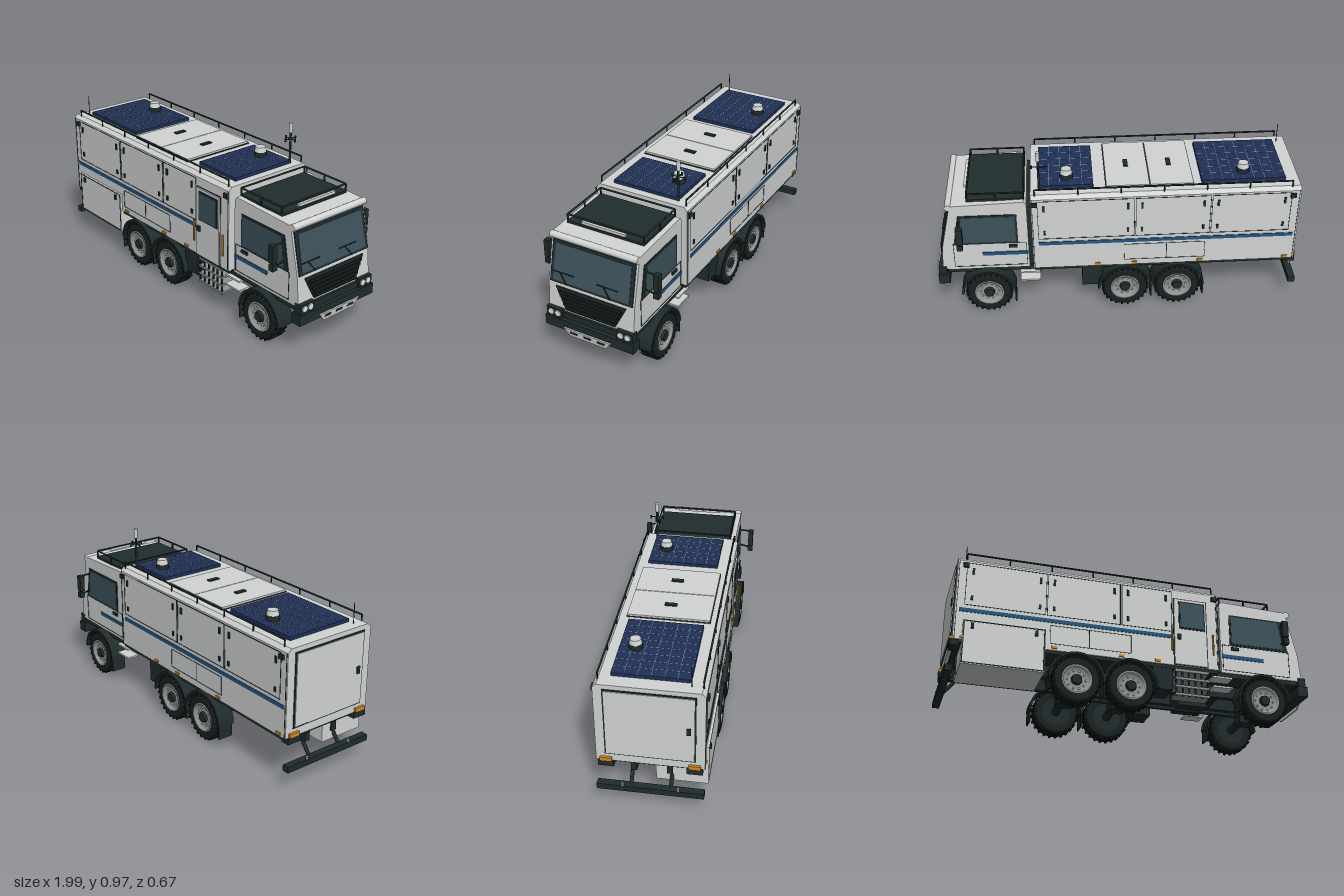
import * as THREE from 'three';

const mat = (name, color, double) => {
  const m = new THREE.MeshStandardMaterial({ color });
  m.name = name;
  if (double) m.side = THREE.DoubleSide;
  return m;
};
const M = {
  paint: mat('bodyPaint', 0xd2d5d4), dark: mat('darkTrim', 0x202c2c), rubber: mat('tyreRubber', 0x1a2020),
  glass: mat('tintedGlass', 0x3c525c), blue: mat('stripeBlue', 0x245680), solar: mat('solarBlue', 0x1f3158),
  orange: mat('markerOrange', 0xd88a1c), metal: mat('rimMetal', 0x8f9696), lens: mat('lampLens', 0xe6e8e6),
};

export function createModel() {
  const root = new THREE.Group();
  root.name = 'expeditionTruck';
  const add = (name, geo, m, parent = root) => {
    const mesh = new THREE.Mesh(geo, m);
    mesh.name = name;
    parent.add(mesh);
    return mesh;
  };
  // Box given by its limits on each axis
  const box = (name, m, x0, x1, y0, y1, z0, z1, parent = root) => {
    const b = add(name, new THREE.BoxGeometry(x1 - x0, y1 - y0, Math.abs(z1 - z0)), m, parent);
    b.position.set((x0 + x1) / 2, (y0 + y1) / 2, (z0 + z1) / 2);
    return b;
  };
  const cyl = (name, m, x, y, z, r0, r1, h, parent = root, seg = 20) => {
    const c = add(name, new THREE.CylinderGeometry(r1, r0, h, seg), m, parent);
    c.position.set(x, y + h / 2, z);
    return c;
  };
  const rod = (name, m, a, b, r, parent = root) => {
    const p = new THREE.Vector3(...a), q = new THREE.Vector3(...b), d = q.clone().sub(p);
    const c = add(name, new THREE.CylinderGeometry(r, r, d.length(), 8), m, parent);
    c.position.copy(p).add(q).multiplyScalar(0.5);
    c.quaternion.setFromUnitVectors(new THREE.Vector3(0, 1, 0), d.normalize());
    return c;
  };
  const poly = pts => new THREE.Shape(pts.map(p => new THREE.Vector2(...p)));
  const extrude = (shape, depth) => new THREE.ExtrudeGeometry(shape, { depth, bevelEnabled: false, curveSegments: 20 });
  // Thin rectangle on a long side; s is +1 or -1
  const plate = (name, m, x0, x1, y0, y1, s, z, t = 0.004) => box(name, m, x0, x1, y0, y1, s * z, s * (z + t));
  const outline = (name, x0, x1, y0, y1, s, z, w = 0.003) => {
    plate(name, M.dark, x0, x1, y0, y0 + w, s, z, 0.002);
    plate(name, M.dark, x0, x1, y1 - w, y1, s, z, 0.002);
    plate(name, M.dark, x0, x0 + w, y0, y1, s, z, 0.002);
    plate(name, M.dark, x1 - w, x1, y0, y1, s, z, 0.002);
  };

  // Living box with chamfered roof edges
  const bodyGeo = extrude(poly([[-0.27, 0.28], [0.27, 0.28], [0.27, 0.73], [0.25, 0.75], [-0.25, 0.75], [-0.27, 0.73]]), 1.43);
  bodyGeo.rotateY(Math.PI / 2);
  add('livingBox', bodyGeo, M.paint).position.x = -0.967;
  box('floorFrame', M.dark, -0.95, 0.46, 0.262, 0.28, -0.262, 0.262);

  // Side lockers, stripes, lamps and handles
  for (const s of [1, -1]) {
    const end = s > 0 ? 0.2 : 0.43;
    plate('sideStripe', M.blue, -0.945, end, 0.435, 0.456, s, 0.27, 0.003);
    for (const [a, b] of [[-0.92, -0.495], [-0.49, -0.09], [-0.085, end]]) {
      outline('lockerSeam', a, b, 0.475, 0.72, s, 0.27);
      for (const x of [a + 0.03, b - 0.04]) {
        plate('lockerLatch', M.dark, x, x + 0.012, 0.655, 0.69, s, 0.27, 0.006);
        plate('lockerLatch', M.dark, x, x + 0.012, 0.505, 0.53, s, 0.27, 0.006);
      }
    }
    outline('lowerLockerSeam', -0.47, -0.26, 0.315, 0.42, s, 0.27, 0.002);
    outline('lowerLockerSeam', -0.26, -0.03, 0.315, 0.42, s, 0.27, 0.002);
    for (const x of [-0.93, -0.46, -0.1, 0.1]) plate('markerLamp', M.orange, x, x + 0.03, 0.288, 0.302, s, 0.27, 0.006);
    for (const x of [-0.94, 0.43]) plate('worklight', M.dark, x, x + 0.03, 0.69, 0.715, s, 0.27, 0.012);
    for (const x of [-0.96, 0.455]) plate('cornerSeam', M.dark, x, x + 0.003, 0.28, 0.73, s, 0.27, 0.002);

    // Roof rail
    rod('roofRail', M.dark, [-0.92, 0.782, s * 0.252], [0.44, 0.782, s * 0.252], 0.005);
    for (let i = 0; i < 7; i++) {
      const x = -0.92 + i * 1.36 / 6;
      rod('railPost', M.dark, [x, 0.745, s * 0.252], [x, 0.782, s * 0.252], 0.004);
    }
  }

  // Entry door with window, grab handles and stairs
  plate('entryDoor', M.paint, 0.21, 0.395, 0.285, 0.675, 1, 0.27, 0.009);
  outline('doorSeam', 0.205, 0.4, 0.282, 0.68, 1, 0.27, 0.005);
  plate('doorWindowFrame', M.dark, 0.235, 0.385, 0.495, 0.66, 1, 0.278, 0.004);
  plate('doorWindow', M.glass, 0.243, 0.377, 0.503, 0.652, 1, 0.28, 0.005);
  plate('doorHandle', M.dark, 0.225, 0.245, 0.43, 0.46, 1, 0.279, 0.01);
  for (const x of [0.195, 0.43]) rod('grabHandle', M.orange, [x, 0.36, 0.282], [x, 0.48, 0.282], 0.005);
  for (const y of [0.115, 0.16, 0.205, 0.25]) box('stairTread', M.metal, 0.215, 0.405, y, y + 0.012, 0.18, 0.265);
  for (let i = 0; i < 6; i++) box('stairBar', M.dark, 0.215 + i * 0.036, 0.223 + i * 0.036, 0.11, 0.265, 0.255, 0.262);

  // Lower storage box on the left
  box('storageBox', M.paint, -0.92, -0.495, 0.145, 0.385, 0.02, 0.282);
  outline('storageSeam', -0.917, -0.498, 0.15, 0.384, 1, 0.282, 0.005);
  for (const x of [-0.88, -0.55]) plate('storageLatch', M.dark, x, x + 0.015, 0.34, 0.37, 1, 0.282, 0.008);

  // Rear door, lamps and bumper
  box('rearDoorFrame', M.dark, -0.971, -0.966, 0.325, 0.725, -0.225, 0.225);
  box('rearDoor', M.paint, -0.975, -0.968, 0.333, 0.717, -0.217, 0.217);
  box('rearDoorLatch', M.dark, -0.98, -0.97, 0.5, 0.54, 0.18, 0.2);
  box('rearBumper', M.dark, -0.993, -0.955, 0.105, 0.138, -0.27, 0.27);
  for (const s of [1, -1]) {
    box('rearLamp', M.orange, -0.98, -0.96, 0.285, 0.305, s * 0.19, s * 0.25);
    box('rearLampHousing', M.dark, -0.977, -0.93, 0.25, 0.283, s * 0.18, s * 0.26);
    rod('bumperStrut', M.dark, [-0.9, 0.2, s * 0.1], [-0.965, 0.12, s * 0.1], 0.01);
    cyl('towEye', M.metal, -0.985, 0.138, s * 0.14, 0.008, 0.008, 0.012);
  }

  // Roof equipment: solar panels, hatches, vents and aerials
  for (const [a, b, n] of [[-0.893, -0.445, 8], [0.13, 0.42, 5]]) {
    box('solarPanel', M.solar, a, b, 0.75, 0.768, -0.195, 0.19);
    for (let i = 1; i < n; i++) {
      const x = a + (b - a) * i / n;
      box('solarLine', M.metal, x - 0.001, x + 0.001, 0.767, 0.769, -0.195, 0.19);
    }
    for (let i = 1; i < 6; i++) {
      const z = -0.195 + 0.385 * i / 6;
      box('solarLine', M.metal, a, b, 0.767, 0.769, z - 0.001, z + 0.001);
    }
  }
  for (const x of [-0.4, -0.167]) {
    box('hatchGap', M.dark, x - 0.003, x + 0.233, 0.75, 0.755, -0.215, 0.218);
    box('roofHatch', M.paint, x, x + 0.229, 0.75, 0.765, -0.212, 0.215);
    box('hatchHandle', M.dark, x + 0.103, x + 0.127, 0.765, 0.772, -0.035, 0.03);
  }
  for (const x of [-0.675, 0.27]) {
    cyl('ventBase', M.dark, x, 0.768, -0.115, 0.035, 0.035, 0.026);
    cyl('ventCap', M.paint, x, 0.794, -0.115, 0.033, 0.027, 0.026);
  }
  cyl('mast', M.dark, 0.415, 0.75, -0.193, 0.006, 0.006, 0.175);
  cyl('mastTip', M.paint, 0.415, 0.925, -0.193, 0.01, 0.01, 0.05);
  rod('mastCrossbar', M.dark, [0.38, 0.887, -0.193], [0.45, 0.887, -0.193], 0.003);
  rod('mastCrossbar', M.dark, [0.415, 0.887, -0.228], [0.415, 0.887, -0.158], 0.003);
  for (const [x, z] of [[0.38, -0.193], [0.45, -0.193], [0.415, -0.228], [0.415, -0.158]]) cyl('mastSensor', M.dark, x, 0.877, z, 0.005, 0.005, 0.018);
  cyl('whipAerial', M.dark, -0.92, 0.75, 0.195, 0.002, 0.002, 0.11);

  // Cab shell from its side profile
  const cabGeo = extrude(poly([[0.485, 0.28], [0.952, 0.28], [0.957, 0.3], [0.945, 0.435], [0.893, 0.665], [0.88, 0.695], [0.5, 0.708], [0.485, 0.69]]), 0.5);
  add('cabShell', cabGeo, M.paint).position.z = -0.25;
  box('cabGap', M.dark, 0.46, 0.487, 0.27, 0.66, -0.23, 0.23);
  const visor = cyl('sunVisor', M.paint, 0.895, 0.685 - 0.25, 0, 0.018, 0.018, 0.5);
  visor.rotation.x = Math.PI / 2;
  for (const s of [1, -1]) {
    const win = poly([[0.54, 0.447], [0.885, 0.447], [0.85, 0.632], [0.54, 0.632]]);
    const pane = poly([[0.55, 0.458], [0.855, 0.458], [0.832, 0.622], [0.55, 0.622]]);
    add('sideWindowFrame', extrude(win, 0.004), M.dark).position.z = s > 0 ? 0.25 : -0.254;
    add('sideWindow', extrude(pane, 0.006), M.glass).position.z = s > 0 ? 0.25 : -0.256;
    outline('cabDoorSeam', 0.495, 0.89, 0.295, 0.447, s, 0.25);
    plate('cabStripe', M.blue, 0.49, 0.735, 0.367, 0.388, s, 0.25, 0.004);
    plate('cabDoorHandle', M.dark, 0.545, 0.59, 0.418, 0.435, s, 0.25, 0.009);
    // Mirrors on arms
    box('mainMirror', M.dark, 0.825, 0.86, 0.505, 0.6, s * 0.305, s * 0.333);
    box('smallMirror', M.dark, 0.83, 0.86, 0.463, 0.497, s * 0.303, s * 0.333);
    rod('mirrorArm', M.dark, [0.85, 0.597, s * 0.25], [0.845, 0.597, s * 0.315], 0.005);
    rod('mirrorArm', M.dark, [0.85, 0.495, s * 0.25], [0.845, 0.482, s * 0.315], 0.005);
    for (const y of [0.185, 0.24]) box('cabStep', M.paint, 0.43, 0.54, y, y + 0.01, s * 0.19, s * 0.262);
    box('headlampHousing', M.dark, 0.935, 0.978, 0.25, 0.3, s * 0.16, s * 0.253);
    for (const z of [0.185, 0.225]) {
      const lamp = cyl('headlamp', M.lens, 0.978, 0.27, s * z, 0.017, 0.017, 0.01);
      lamp.rotation.z = Math.PI / 2;
    }
  }

  // Cab front: local x runs across, y up the slope, z outward
  const slope = (name, x, y, tilt) => {
    const g = new THREE.Group();
    g.name = name;
    g.rotation.set(-tilt, Math.PI / 2, 0, 'YXZ');
    g.position.set(x, y, 0);
    root.add(g);
    return g;
  };
  const screen = slope('windscreen', 0.945, 0.436, 0.222);
  add('windscreenFrame', extrude(poly([[-0.24, 0.005], [0.24, 0.005], [0.238, 0.23], [-0.238, 0.23]]), 0.006), M.dark, screen);
  add('windscreenGlass', extrude(poly([[-0.222, 0.018], [0.222, 0.018], [0.218, 0.216], [-0.218, 0.216]]), 0.009), M.glass, screen);
  for (const x of [-0.22, 0.035]) {
    rod('wiperBlade', M.dark, [x, 0.066, 0.012], [x + 0.12, 0.066, 0.012], 0.003, screen);
    rod('wiperArm', M.dark, [x + 0.04, 0.066, 0.013], [x + 0.083, 0.01, 0.013], 0.003, screen);
  }
  const grille = slope('grille', 0.957, 0.3, 0.088);
  add('grillePanel', extrude(poly([[-0.145, 0], [0.145, 0], [0.205, 0.122], [-0.205, 0.122]]), 0.007), M.dark, grille);
  for (let i = 0; i < 5; i++) {
    const y = 0.01 + i * 0.021, w = 0.14 + y * 0.48;
    box('grilleSlat', M.rubber, -w, w, y, y + 0.013, 0.006, 0.016, grille);
  }

  // Front bumper and skid plate
  box('frontBumper', M.dark, 0.925, 0.985, 0.19, 0.248, -0.26, 0.26);
  box('bumperTop', M.dark, 0.92, 0.965, 0.248, 0.283, -0.16, 0.16);
  const skid = slope('skidPlate', 0.987, 0.175, -0.15);
  add('skidPanel', extrude(poly([[-0.105, 0], [0.105, 0], [0.14, 0.045], [-0.14, 0.045]]), 0.008), M.paint, skid);
  for (const x of [-0.08, 0, 0.08]) box('skidSlot', M.dark, x - 0.022, x + 0.022, 0.018, 0.032, 0.005, 0.0095, skid);

  // Cab roof rack
  box('rackDeck', M.dark, 0.495, 0.8, 0.703, 0.716, -0.222, 0.222);
  for (const s of [1, -1]) {
    rod('rackSideRail', M.dark, [0.5, 0.75, s * 0.22], [0.795, 0.75, s * 0.22], 0.005);
    rod('rackEndRail', M.dark, [0.647 + s * 0.148, 0.75, -0.22], [0.647 + s * 0.148, 0.75, 0.22], 0.005);
    for (const x of [0.5, 0.647, 0.795]) rod('rackPost', M.dark, [x, 0.705, s * 0.22], [x, 0.75, s * 0.22], 0.005);
  }
  box('lightBar', M.paint, 0.8, 0.815, 0.73, 0.745, -0.125, 0.125);

  // Chassis rails, cross members, tanks and axles
  for (const s of [1, -1]) {
    box('chassisRail', M.dark, -0.93, 0.94, 0.195, 0.262, s * 0.075, s * 0.105);
    box('sideTank', M.dark, 0.09, 0.2, 0.14, 0.262, s * 0.13, s * 0.26);
    box('cabSill', M.dark, 0.4, 0.93, 0.255, 0.28, s * 0.12, s * 0.245);
  }
  for (const x of [-0.85, -0.5, -0.18, 0.15, 0.5, 0.88]) box('crossMember', M.dark, x, x + 0.03, 0.2, 0.25, -0.08, 0.08);
  rod('driveShaft', M.dark, [-0.325, 0.14, 0], [0.715, 0.14, 0], 0.013);
  box('gearbox', M.dark, 0.3, 0.46, 0.14, 0.25, -0.07, 0.07);

  // Wheel: tyre with tread lugs, dished rim, bolts and hub
  const lathe = pts => new THREE.LatheGeometry(pts.map(p => new THREE.Vector2(...p)), 36).rotateX(Math.PI / 2);
  const tyreGeo = lathe([[0.078, -0.04], [0.108, -0.045], [0.121, -0.038], [0.123, 0], [0.121, 0.038], [0.108, 0.045], [0.078, 0.04]]);
  const rimGeo = lathe([[0.082, 0.036], [0.079, 0.045], [0.07, 0.043], [0.064, 0.024], [0.034, 0.026], [0.033, 0.03], [0, 0.03]]);
  const lugGeo = new THREE.BoxGeometry(0.011, 0.016, 0.038);
  const boltGeo = new THREE.CylinderGeometry(0.005, 0.005, 0.012, 8).rotateX(Math.PI / 2);
  for (const x of [-0.325, -0.035, 0.715]) {
    rod('axle', M.dark, [x, 0.13, -0.22], [x, 0.13, 0.22], 0.023);
    box('differential', M.dark, x - 0.045, x + 0.045, 0.09, 0.167, -0.04, 0.04);
    for (const s of [1, -1]) {
      const w = new THREE.Group();
      w.name = 'wheel';
      w.position.set(x, 0.13, s * 0.242);
      if (s < 0) w.rotation.y = Math.PI;
      root.add(w);
      add('tyre', tyreGeo, M.rubber, w);
      add('rim', rimGeo, M.metal, w);
      cyl('innerDisc', M.dark, 0, 0, 0, 0.08, 0.08, 0.05, w).rotation.x = Math.PI / 2;
      w.children[2].position.set(0, 0, -0.012);
      const hub = cyl('hub', M.dark, 0, 0, 0, 0.032, 0.026, 0.024, w);
      hub.rotation.x = Math.PI / 2;
      hub.position.set(0, 0, 0.034);
      for (let i = 0; i < 48; i++) {
        const a = i * Math.PI / 24, l = add('treadLug', lugGeo, M.rubber, w);
        l.position.set(Math.cos(a) * 0.121, Math.sin(a) * 0.121, i % 2 ? 0.021 : -0.021);
        l.rotation.z = a + Math.PI / 2;
      }
      for (let i = 0; i < 10; i++) {
        const a = i * Math.PI / 5;
        add('wheelBolt', boltGeo, M.lens, w).position.set(Math.cos(a) * 0.05, Math.sin(a) * 0.05, 0.028);
      }
      // Arched mudguard and flap
      const arch = new THREE.Shape();
      arch.absarc(0, 0, 0.15, 0, Math.PI, false);
      arch.absarc(0, 0, 0.138, Math.PI, 0, true);
      add('mudguard', extrude(arch, 0.1), M.dark).position.set(x, 0.13, s > 0 ? 0.19 : -0.29);
      box('mudFlap', M.dark, x - 0.148, x - 0.14, 0.06, 0.14, s * 0.2, s * 0.285);
    }
  }
  return root;
}
